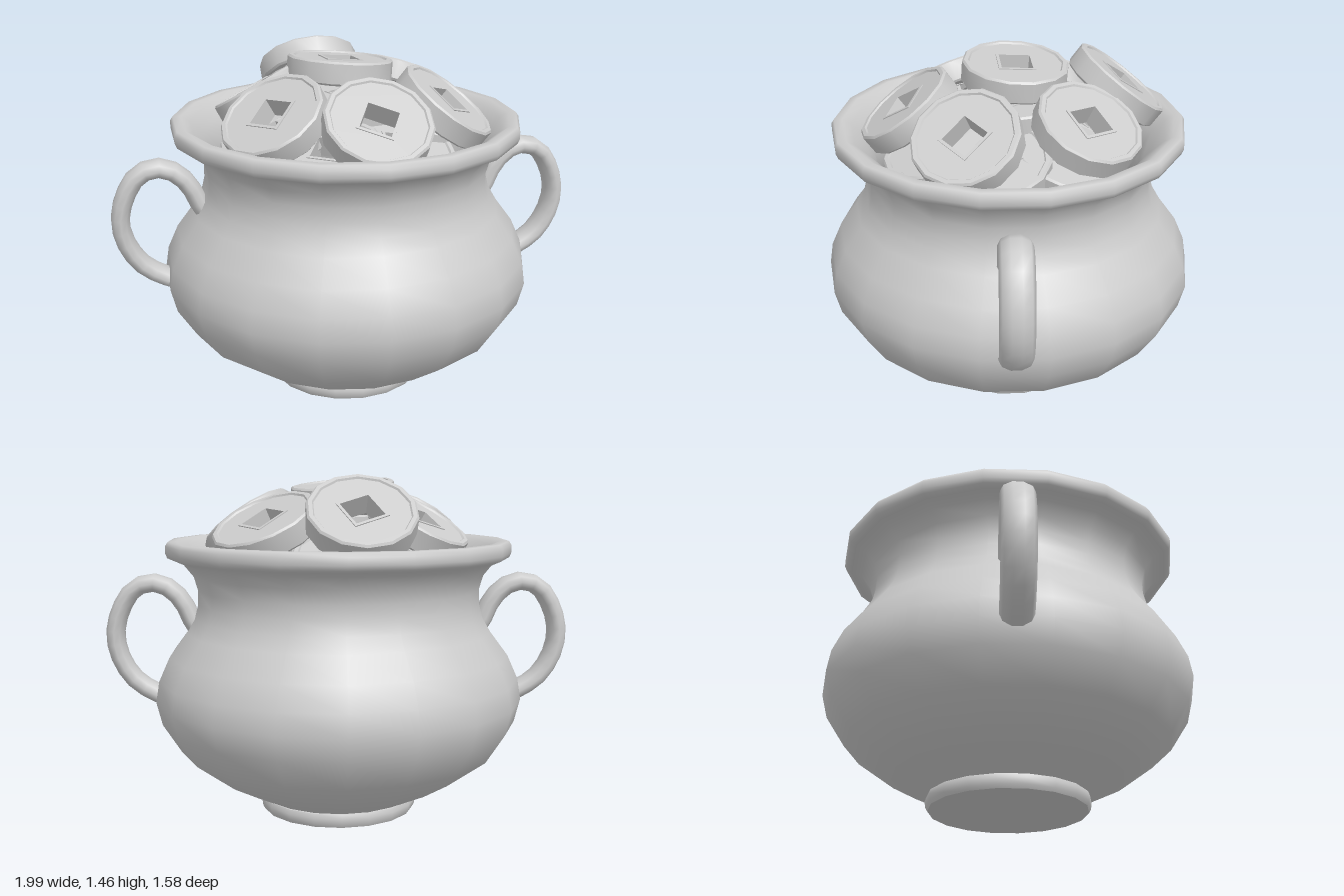
import * as THREE from 'three';
import { toCreasedNormals, mergeGeometries } from 'three/addons/utils/BufferGeometryUtils.js';

const SIDES = 18;
const grey = new THREE.MeshStandardMaterial({ color: 0xcccccc });
const greyDouble = new THREE.MeshStandardMaterial({ color: 0xcccccc, side: THREE.DoubleSide });

function lathe(points, sides, crease) {
  const geometry = new THREE.LatheGeometry(points.map(([r, y]) => new THREE.Vector2(r, y)), sides);
  return toCreasedNormals(geometry, crease);
}

function addMesh(parent, name, geometry, material = grey) {
  const mesh = new THREE.Mesh(geometry, material);
  mesh.name = name;
  parent.add(mesh);
  return mesh;
}

// Square outline, for the coin hole and the lip around it
function square(half, Type) {
  return new Type([[-1, -1], [1, -1], [1, 1], [-1, 1]].map(([x, y]) => new THREE.Vector2(x * half, y * half)));
}

// Flat slab lying in the xz plane, centred on y = 0
function slab(shape, thickness) {
  const geometry = new THREE.ExtrudeGeometry(shape, { depth: thickness, bevelEnabled: false });
  return geometry.translate(0, 0, -thickness / 2).rotateX(-Math.PI / 2);
}

// Coin: recessed disc with a square hole, raised outer rim, small lip at the hole
function coinGeometry() {
  const sides = 14;
  const disc = new THREE.Shape();
  for (let i = 0; i < sides; i++) {
    const a = (i / sides) * Math.PI * 2 - Math.PI / 2;
    const p = [0.2 * Math.cos(a), 0.2 * Math.sin(a)];
    if (i) disc.lineTo(...p); else disc.moveTo(...p);
  }
  disc.closePath();
  disc.holes.push(square(0.066, THREE.Path));
  const lip = square(0.076, THREE.Shape);
  lip.holes.push(square(0.064, THREE.Path));
  const rim = lathe([
    [0.19, -0.04], [0.196, -0.048], [0.212, -0.048], [0.22, -0.04],
    [0.22, 0.04], [0.212, 0.048], [0.196, 0.048], [0.19, 0.04],
  ], sides, 0.6);
  const parts = [slab(disc, 0.082), slab(lip, 0.09), rim]
    .map((g) => toCreasedNormals(g, 0.6));
  return mergeGeometries(parts);
}

export function createModel() {
  const model = new THREE.Group();
  model.name = 'potOfCoins';

  // Foot ring with closed underside
  addMesh(model, 'foot', lathe([
    [0, 0], [0.33, 0], [0.338, 0.015], [0.342, 0.04], [0.335, 0.058], [0.31, 0.065], [0, 0.065],
  ], SIDES, 0.8));

  // Bellied body, flared rim and inner wall as one profile
  addMesh(model, 'body', lathe([
    [0.3, 0.045], [0.34, 0.065], [0.515, 0.15], [0.685, 0.275], [0.765, 0.4], [0.79, 0.5],
    [0.775, 0.59], [0.73, 0.69], [0.655, 0.79], [0.62, 0.85], [0.605, 0.91], [0.603, 0.97],
    [0.62, 1.03], [0.66, 1.08], [0.705, 1.1], [0.728, 1.11], [0.736, 1.13], [0.736, 1.16],
    [0.725, 1.177], [0.69, 1.178], [0.655, 1.155], [0.6, 1.1], [0.565, 1.03], [0.555, 0.95],
    [0.58, 0.84], [0.7, 0.65], [0.73, 0.5], [0.63, 0.3], [0.35, 0.12], [0, 0.1],
  ], SIDES, 1.0), greyDouble);

  // Ear-shaped handles: a flattened tube on each side
  const path = [
    [0.57, 0.74], [0.625, 0.82], [0.67, 0.915], [0.73, 0.975], [0.8, 0.996], [0.875, 0.97],
    [0.935, 0.88], [0.96, 0.775], [0.94, 0.67], [0.88, 0.575], [0.8, 0.52], [0.73, 0.49],
  ];
  for (const [name, side] of [['leftHandle', 1], ['rightHandle', -1]]) {
    const curve = new THREE.CatmullRomCurve3(path.map(([x, y]) => new THREE.Vector3(side * x, y, 0)));
    const tube = new THREE.TubeGeometry(curve, 18, 0.04, 10);
    tube.scale(1, 1, 1.65);
    tube.computeVertexNormals();
    addMesh(model, name, toCreasedNormals(tube, 1.2));
  }

  // Coins: top face centre, tilt of the face normal, turn of the hole
  const coins = new THREE.Group();
  coins.name = 'coins';
  model.add(coins);
  const geometry = coinGeometry();
  const up = new THREE.Vector3(0, 1, 0);
  function addCoin(name, [x, y, z], [nx, nz], spin) {
    const normal = new THREE.Vector3(nx, 1, nz).normalize();
    const coin = addMesh(coins, name, geometry);
    coin.position.set(x, y, z).addScaledVector(normal, -0.045);
    coin.quaternion.setFromUnitVectors(up, normal);
    coin.rotateY(spin);
  }
  const topCoins = [
    [[-0.015, 1.415, -0.03], [0.08, -0.07], 0.08],
    [[-0.07, 1.325, -0.48], [-0.05, -0.76], 0.5],
    [[0.315, 1.285, -0.31], [0.4, -0.36], 0.6],
    [[0.4, 1.265, 0.18], [0.68, 0.3], 0.7],
    [[0.035, 1.265, 0.435], [0.05, 0.72], -0.45],
    [[-0.355, 1.265, 0.24], [-0.55, 0.42], 0.75],
    [[-0.335, 1.285, -0.205], [-0.52, -0.28], 0.55],
  ];
  topCoins.forEach(([p, n, spin], i) => addCoin('topCoin' + (i + 1), p, n, spin));

  // Lower layer showing through the gaps
  for (let i = 0; i < 7; i++) {
    const a = (i / 7) * Math.PI * 2 + 0.5;
    const s = Math.sin(a), c = Math.cos(a);
    addCoin('lowerCoin' + (i + 1), [s * 0.35, 1.13 + 0.02 * (i % 2), c * 0.35], [s * 0.35, c * 0.35], i * 0.7);
  }
  addCoin('middleCoin', [0.02, 1.27, 0.0], [0.05, 0.06], 0.6);

  return model;
}
